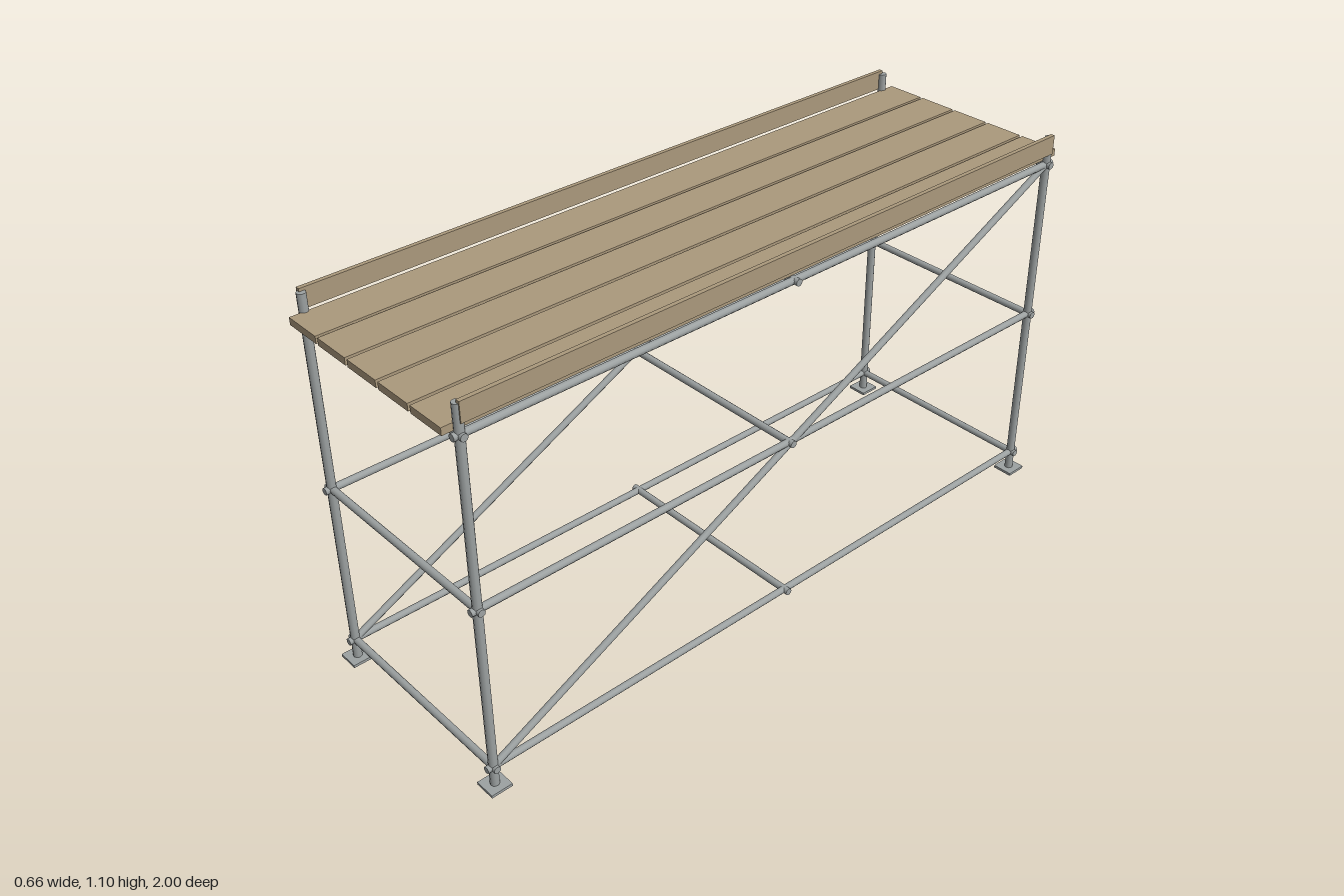
import * as THREE from 'three';

export function createModel() {
  const model = new THREE.Group();
  model.name = 'scaffold';

  const steel = new THREE.MeshStandardMaterial({ color: 0x9da2a2 });
  steel.name = 'galvanised steel';
  const wood = new THREE.MeshStandardMaterial({ color: 0xab997c });
  wood.name = 'timber';

  const X = 0.302, Z = 0.96;           // post centres
  const LEVELS = [0.063, 0.544, 1.01]; // heights of the horizontal tubes

  // Round tube between two points
  function tube(name, from, to, radius) {
    const a = new THREE.Vector3(...from), b = new THREE.Vector3(...to);
    const dir = b.clone().sub(a);
    const mesh = new THREE.Mesh(new THREE.CylinderGeometry(radius, radius, dir.length(), 10), steel);
    mesh.position.copy(a).add(b).multiplyScalar(0.5);
    mesh.quaternion.setFromUnitVectors(new THREE.Vector3(0, 1, 0), dir.normalize());
    mesh.name = name;
    model.add(mesh);
  }

  function box(name, size, position, material) {
    const mesh = new THREE.Mesh(new THREE.BoxGeometry(...size), material);
    mesh.position.set(...position);
    mesh.name = name;
    model.add(mesh);
  }

  for (const side of [-1, 1]) {
    const x = side * X;

    // Corner posts on square foot plates
    for (const end of [-1, 1]) {
      tube('post', [x, 0.004, end * Z], [x, 1.09, end * Z], 0.012);
      box('footPlate', [0.06, 0.008, 0.06], [x, 0.004, end * Z], steel);
    }

    // Long horizontal tubes and the diagonal brace
    for (const y of LEVELS) tube('ledger', [x, y, -0.98], [x, y, 0.98], 0.0098);
    tube('diagonalBrace', [x, LEVELS[0], Z], [x, LEVELS[2], -Z], 0.0098);

    // Edge board above the deck
    box('toeBoard', [0.012, 0.054, 1.926], [side * 0.311, 1.071, 0], wood);
  }

  // Cross tubes at both ends and mid span
  for (const z of [-Z, 0, Z]) {
    for (const y of LEVELS) tube('transom', [-0.32, y, z], [0.32, y, z], 0.01);
  }

  // Deck planks
  for (let i = -2; i <= 2; i++) {
    box('deckPlank', [0.112, 0.02, 2], [i * 0.121, 1.032, 0], wood);
  }

  return model;
}
